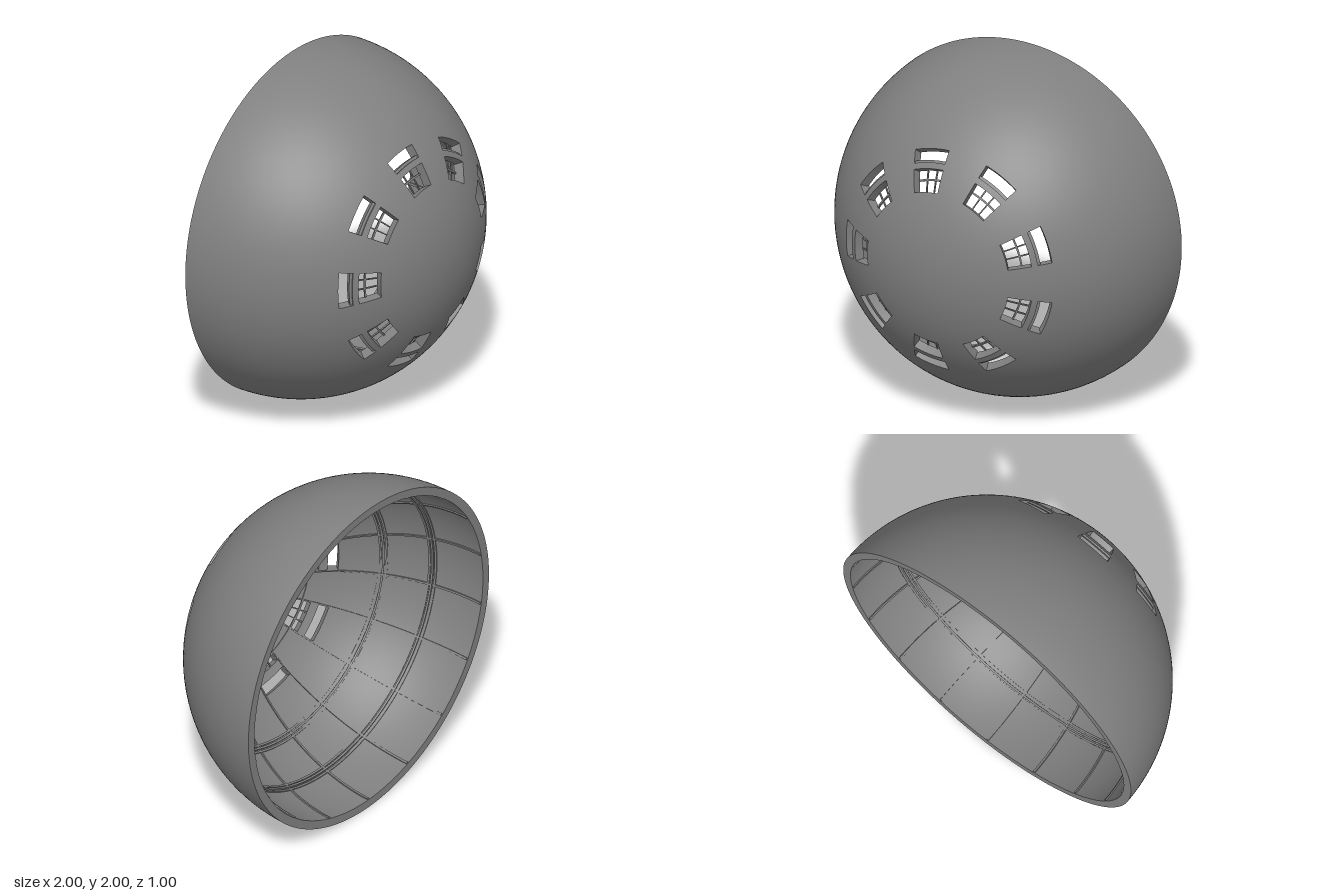
import * as THREE from 'three';

const RAD = Math.PI / 180;
const OUTER = 1, INNER = 0.95;
const BAYS = 9, STEP = 360 / BAYS, HALF = 9.5;   // window bays around the dome
const WINDOW = [26, 33.4], SLOT = [35.4, 39.9];  // angles from the pole, in degrees
const ROUND = [10.5, 370.5];                     // full turn, in step with the bay edges

// Solid block bounded by radii, angles from the pole (+z) and angles around it
function block(r0, r1, t0, t1, p0, p1) {
  const geo = new THREE.BoxGeometry(1, 1, 1,
    Math.ceil((t1 - t0) / 2.5), Math.ceil(p1 - p0), 1);
  const pos = geo.attributes.position, nor = geo.attributes.normal;
  const eT = new THREE.Vector3(), eP = new THREE.Vector3(), eR = new THREE.Vector3();
  for (let i = 0; i < pos.count; i++) {
    const t = (t0 + (t1 - t0) * (pos.getX(i) + 0.5)) * RAD;
    const p = (p0 + (p1 - p0) * (pos.getY(i) + 0.5)) * RAD;
    const r = r0 + (r1 - r0) * (pos.getZ(i) + 0.5);
    eR.set(Math.sin(t) * Math.cos(p), Math.sin(t) * Math.sin(p), Math.cos(t));
    eT.set(Math.cos(t) * Math.cos(p), Math.cos(t) * Math.sin(p), -Math.sin(t));
    eP.set(-Math.sin(p), Math.cos(p), 0);
    const n = eT.multiplyScalar(nor.getX(i))
      .addScaledVector(eP, nor.getY(i)).addScaledVector(eR, nor.getZ(i));
    pos.setXYZ(i, eR.x * r, eR.y * r, eR.z * r);
    nor.setXYZ(i, n.x, n.y, n.z);
  }
  return geo;
}

export function createModel() {
  const model = new THREE.Group();
  model.name = 'dome';
  const material = new THREE.MeshStandardMaterial({ color: 0x808080 });
  const add = (name, ...args) => {
    const mesh = new THREE.Mesh(block(...args), material);
    mesh.name = name;
    model.add(mesh);
  };

  // Unbroken bands of the shell
  add('shellCap', INNER, OUTER, 0, WINDOW[0], ...ROUND);
  add('shellBand', INNER, OUTER, WINDOW[1], SLOT[0], ...ROUND);
  add('shellSkirt', INNER, OUTER, SLOT[1], 90, ...ROUND);

  for (let i = 0; i < BAYS; i++) {
    const mid = 20 + i * STEP, p0 = mid - HALF, p1 = mid + HALF;

    // Shell between neighbouring openings
    for (const [a, b] of [WINDOW, SLOT])
      add('shellPier', INNER, OUTER, a, b, p1, p0 + STEP);

    // Window uprights, level with the inner face
    for (const s of [-1, 1]) {
      const p = mid + s * HALF / 3;
      add('windowUpright', 0.945, 0.954, WINDOW[0], WINDOW[1], p - 0.4, p + 0.4);
    }

    // Stepped sill along the slot
    add('slotSill', INNER, 0.99, SLOT[0], SLOT[0] + 0.9, p0, p1);

    // Ribs on either side of each bay
    for (const p of [mid - 10, mid + 10])
      add('rib', 0.943, INNER + 0.004, 0.5, 89.8, p - 0.4, p + 0.4);
  }

  // Hoops on the inner face: a thin one that also crosses the windows, two triple
  add('windowHoop', 0.944, INNER + 0.004, 30, 30.6, ...ROUND);
  for (const t of [54.5, 71])
    for (const k of [-1, 0, 1])
      add('tripleHoop', k ? 0.943 : 0.939, INNER + 0.004, t + k * 1.1 - 0.35, t + k * 1.1 + 0.35, ...ROUND);

  // Pole to the front, rim to the back
  model.position.set(0, 1, -0.5);
  const root = new THREE.Group();
  root.name = 'domeModel';
  root.add(model);
  return root;
}
